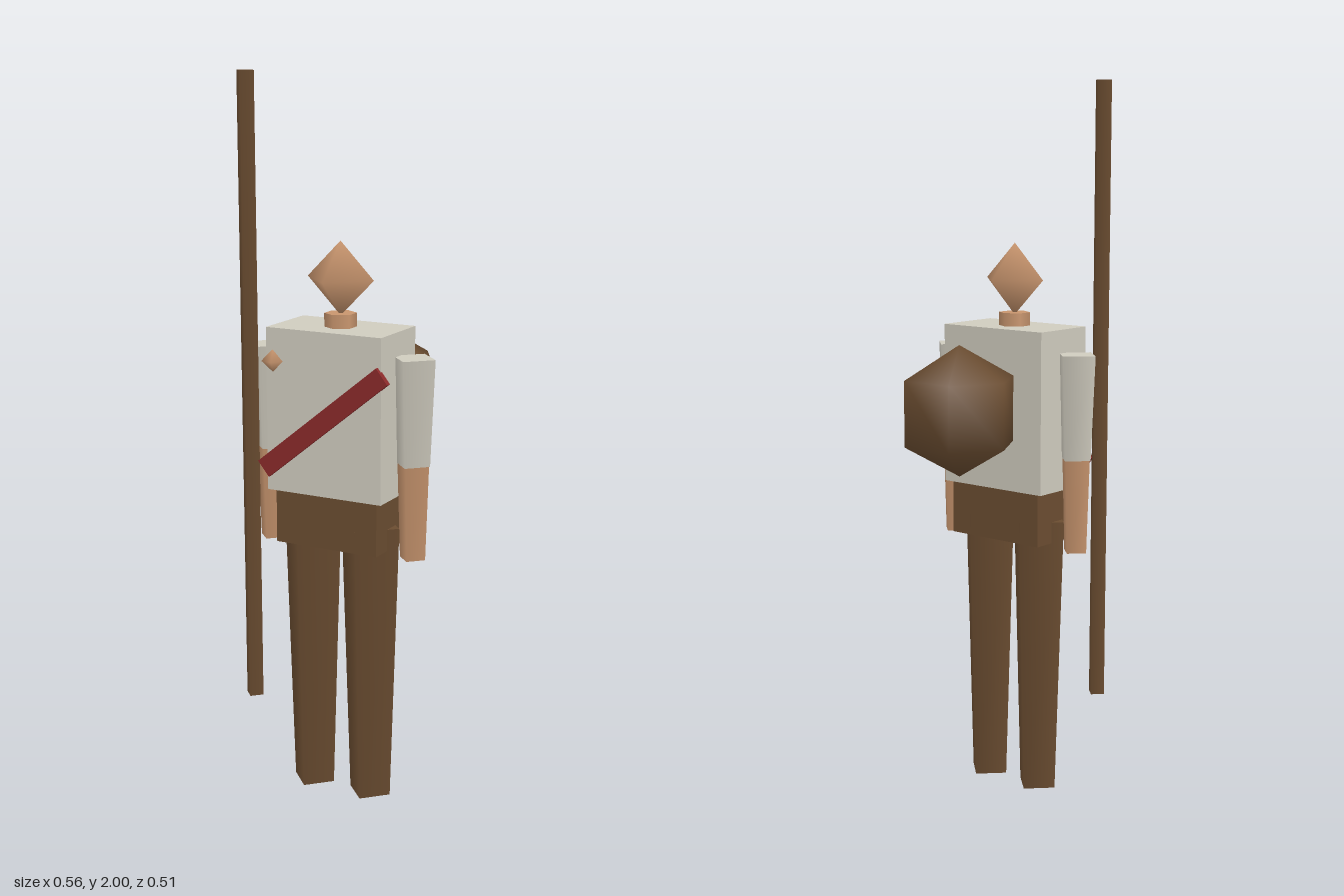
import * as THREE from 'three';

const material = (name, color) => {
  const m = new THREE.MeshStandardMaterial({ color });
  m.name = name;
  return m;
};

export function createModel() {
  const model = new THREE.Group();
  model.name = 'staffBearer';
  const cloth = material('paleCloth', 0xd0ccbf);
  const brown = material('brown', 0x6b4d31);
  const skin = material('skin', 0xc8956e);
  const red = material('redSash', 0x8b2a2a);
  const bodyZ = 0.118;

  const add = (name, geometry, mat, x, y, z) => {
    const mesh = new THREE.Mesh(geometry, mat);
    mesh.name = name;
    mesh.position.set(x, y, z);
    model.add(mesh);
    return mesh;
  };
  // Tapered post between two heights
  const post = (name, mat, x, z, y0, y1, r0, r1, sides = 4) =>
    add(name, new THREE.CylinderGeometry(r1, r0, y1 - y0, sides), mat, x, (y0 + y1) / 2, z);

  // Body
  add('torso', new THREE.BoxGeometry(0.346, 0.45, 0.2), cloth, 0, 1.105, bodyZ);
  add('hips', new THREE.BoxGeometry(0.308, 0.15, 0.175), brown, 0, 0.805, bodyZ);
  post('neck', skin, 0, bodyZ, 1.32, 1.367, 0.044, 0.044, 6);
  add('head', new THREE.SphereGeometry(0.1, 4, 2), skin, 0, 1.46, bodyZ);

  // Limbs, mirrored
  for (const [side, s] of [['left', 1], ['right', -1]]) {
    post(side + 'Leg', brown, s * 0.09, bodyZ, 0, 0.79, 0.063, 0.089);
    post(side + 'Sleeve', cloth, s * 0.219, bodyZ, 0.975, 1.265, 0.05, 0.063);
    post(side + 'Forearm', skin, s * 0.219, bodyZ, 0.713, 0.975, 0.038, 0.047);
  }

  // Sash across the chest with its clasp
  const sash = add('sash', new THREE.BoxGeometry(0.464, 0.053, 0.017), red, 0, 1.085, 0.221);
  sash.rotation.z = 0.68;
  const clasp = add('clasp', new THREE.SphereGeometry(0.032, 5, 2), skin, -0.153, 1.24, 0.216);
  clasp.rotation.y = Math.PI;

  // Staff and round pack
  post('staff', brown, -0.22, 0.226, 0.275, 2, 0.0265, 0.0265);
  add('pack', new THREE.SphereGeometry(0.181, 6, 3), brown, 0, 1.115, -0.12);

  return model;
}
